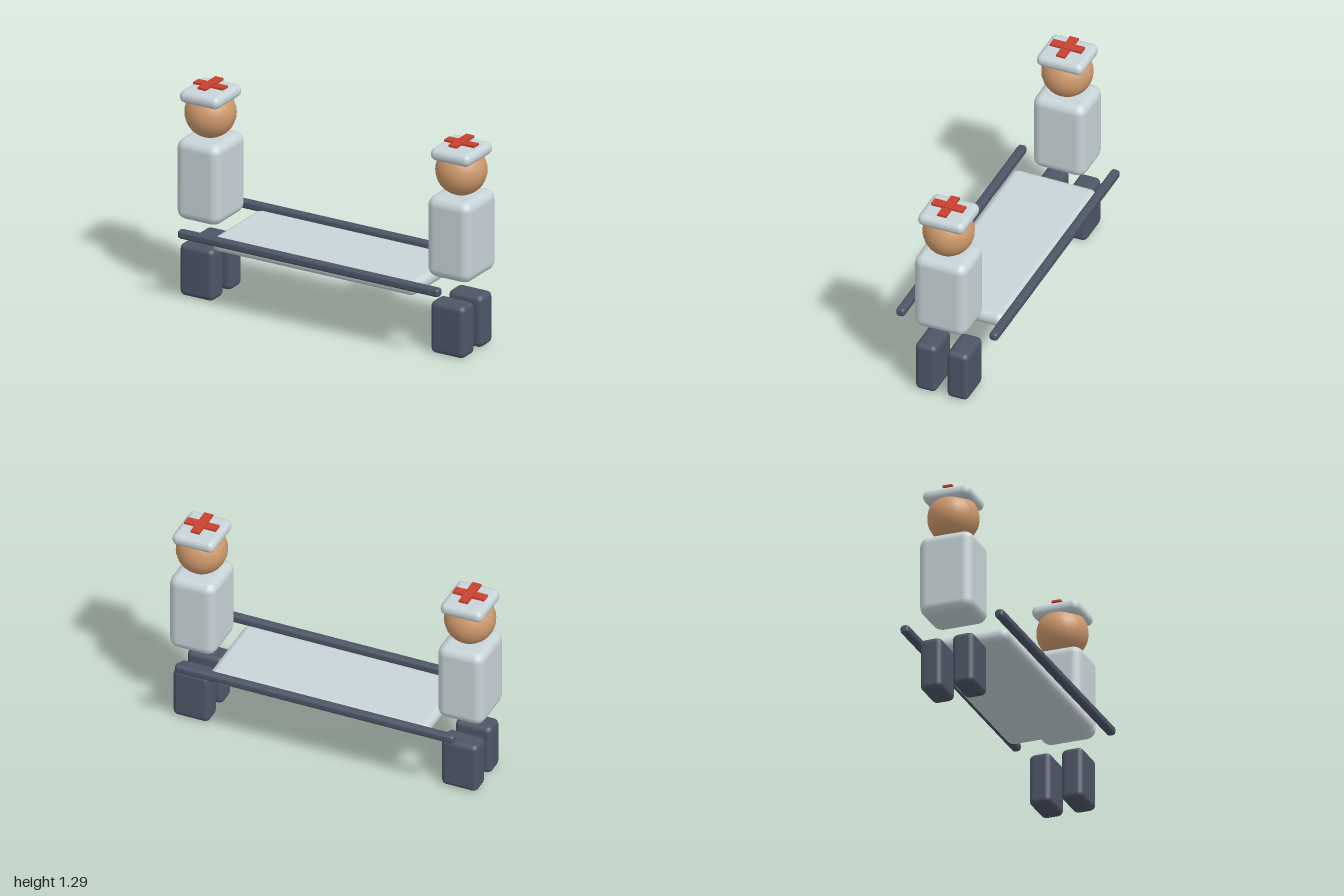
import * as THREE from 'three';
import { RoundedBoxGeometry } from 'three/addons/geometries/RoundedBoxGeometry.js';

function material(name, color) {
  const m = new THREE.MeshStandardMaterial({ color });
  m.name = name;
  return m;
}

export function createModel() {
  const cloth = material('pale grey cloth', 0xc8d4d8);
  const skin = material('skin', 0xcf9a6c);
  const slate = material('dark slate', 0x4d5566);
  const red = material('red', 0xc8412f);

  function add(parent, name, geometry, mat, x, y, z) {
    const mesh = new THREE.Mesh(geometry, mat);
    mesh.name = name;
    mesh.position.set(x, y, z);
    parent.add(mesh);
    return mesh;
  }
  const rounded = (w, h, d, r) => new RoundedBoxGeometry(w, h, d, 2, r);

  const model = new THREE.Group();
  model.name = 'stretcherTeam';

  // One bearer at each end
  function makeBearer(name, x) {
    const bearer = new THREE.Group();
    bearer.name = name;
    bearer.position.x = x;
    for (const side of [-1, 1]) {
      add(bearer, side > 0 ? 'frontLeg' : 'backLeg',
        rounded(0.23, 0.323, 0.136, 0.033), slate, 0, 0.163, side * 0.1);
    }
    add(bearer, 'torso', rounded(0.294, 0.502, 0.334, 0.058), cloth, 0, 0.719, 0);
    add(bearer, 'head', new THREE.SphereGeometry(0.152, 24, 16), skin, 0, 1.113, 0);
    add(bearer, 'cap', rounded(0.268, 0.077, 0.294, 0.037), cloth, 0, 1.227, 0);
    // Cross of two overlapping bars, hovering just above the cap
    add(bearer, 'crossBarLower', new THREE.BoxGeometry(0.2, 0.013, 0.056), red, 0, 1.281, 0);
    add(bearer, 'crossBarUpper', new THREE.BoxGeometry(0.056, 0.013, 0.2), red, 0, 1.288, 0);
    model.add(bearer);
  }
  makeBearer('rightBearer', -0.85);
  makeBearer('leftBearer', 0.845);

  // Stretcher bed and carrying poles
  const stretcher = new THREE.Group();
  stretcher.name = 'stretcher';
  add(stretcher, 'bed', rounded(1.38, 0.09, 0.538, 0.044), cloth, -0.002, 0.412, 0);
  for (const side of [-1, 1]) {
    add(stretcher, side > 0 ? 'frontPole' : 'backPole',
      rounded(1.765, 0.053, 0.054, 0.019), slate, -0.002, 0.451, side * 0.294);
  }
  model.add(stretcher);

  return model;
}
